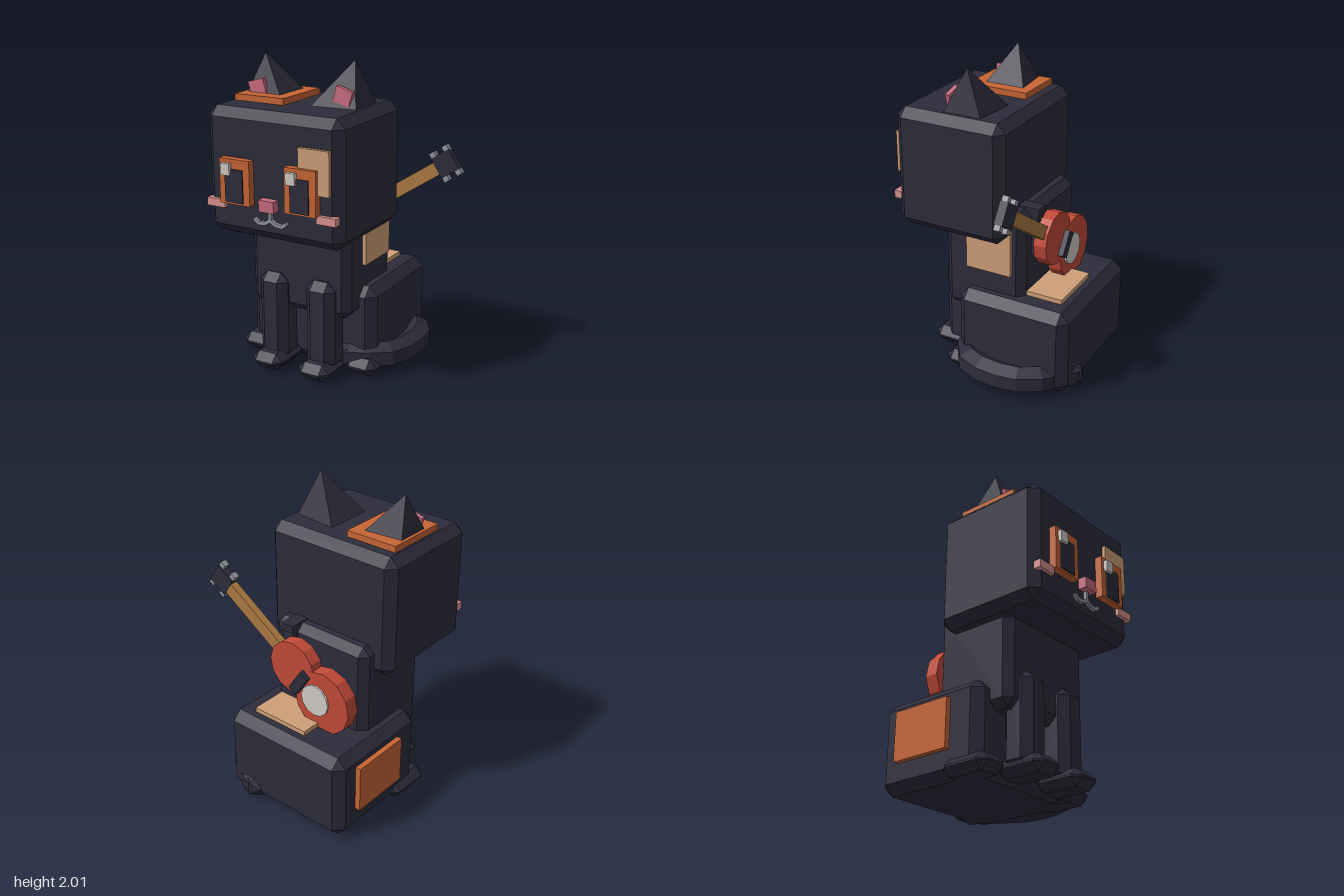
import * as THREE from 'three';
import { ConvexGeometry } from 'three/addons/geometries/ConvexGeometry.js';

const mat = (name, color) => {
  const m = new THREE.MeshStandardMaterial({ color });
  m.name = name;
  return m;
};

export function createModel() {
  const fur = mat('dark fur', 0x2d2c3b);
  const orange = mat('orange', 0xc66535);
  const tan = mat('tan', 0xcf9f78);
  const pink = mat('pink', 0xc96c80);
  const blush = mat('blush', 0xd8928f);
  const pale = mat('pale', 0xcfcbc6);
  const silver = mat('silver', 0x90929b);
  const red = mat('red', 0xc24a39);
  const wood = mat('wood', 0xa97942);

  const cat = new THREE.Group();
  cat.name = 'cat';
  const MID = -0.16; // the cat's own centre line
  const mirror = x => 2 * MID - x;

  const add = (name, geo, material, parent = cat) => {
    const mesh = new THREE.Mesh(geo, material);
    mesh.name = name;
    parent.add(mesh);
    return mesh;
  };
  // plain box given by its limits
  const box = (name, m, x0, x1, y0, y1, z0, z1, parent = cat) => {
    const b = add(name, new THREE.BoxGeometry(x1 - x0, y1 - y0, z1 - z0), m, parent);
    b.position.set((x0 + x1) / 2, (y0 + y1) / 2, (z0 + z1) / 2);
    return b;
  };
  // box with bevelled edges and corners, given by its limits
  const bevelBox = (name, m, x0, x1, y0, y1, z0, z1, c) => {
    const h = [(x1 - x0) / 2, (y1 - y0) / 2, (z1 - z0) / 2];
    const pts = [];
    for (const sx of [-1, 1]) for (const sy of [-1, 1]) for (const sz of [-1, 1])
      for (let full = 0; full < 3; full++) {
        const p = h.map((v, i) => (i === full ? v : v - c));
        pts.push(new THREE.Vector3(p[0] * sx, p[1] * sy, p[2] * sz));
      }
    const b = add(name, new ConvexGeometry(pts), m);
    b.position.set((x0 + x1) / 2, (y0 + y1) / 2, (z0 + z1) / 2);
    return b;
  };

  // main masses
  bevelBox('head', fur, -0.63, 0.31, 0.95, 1.73, -0.17, 0.585, 0.058);
  bevelBox('torso', fur, -0.52, 0.2, 0.4, 1.15, -0.262, 0.305, 0.05);
  bevelBox('haunches', fur, -0.62, 0.3, 0.01, 0.58, -0.608, 0.166, 0.06);

  // coat patches
  box('headPatch', orange, -0.56, -0.21, 1.70, 1.77, -0.055, 0.363);
  box('facePatch', tan, 0.04, 0.247, 1.287, 1.555, 0.56, 0.608);
  box('sidePatch', tan, 0.17, 0.226, 0.725, 1.03, -0.185, 0.127);
  box('backPatch', tan, -0.26, 0.145, 0.56, 0.61, -0.505, -0.255);
  box('hipPatch', orange, -0.655, -0.6, 0.18, 0.49, -0.455, -0.045);

  // legs, paws, ears and cheeks on both sides
  for (const s of [-1, 1]) {
    const at = (name, fn, m, cx, w, ...rest) => {
      const x = MID + s * cx;
      return fn(name, m, x - w / 2, x + w / 2, ...rest);
    };
    at('frontLeg', bevelBox, fur, 0.172, 0.205, 0.05, 0.64, 0.165, 0.37, 0.053);
    at('frontPaw', bevelBox, fur, 0.172, 0.225, 0.01, 0.122, 0.13, 0.462, 0.05);
    at('hindPaw', bevelBox, fur, 0.388, 0.225, 0.01, 0.122, -0.09, 0.242, 0.05);
    at('cheek', box, blush, 0.386, 0.13, 1.12, 1.17, 0.56, 0.61);

    const ear = [[0.315, 2.0, 0.145], [0.1, 1.73, -0.014], [0.39, 1.73, 0.014],
      [0.39, 1.73, 0.27], [0.1, 1.73, 0.298]]
      .map(([x, y, z]) => new THREE.Vector3(MID + s * x, y, z));
    add('ear', new ConvexGeometry(ear), fur);
    const inner = at('innerEar', box, pink, 0.3, 0.113, 1.752, 1.848, 0.24, 0.27);
    inner.rotation.z = -s * 0.27;
  }

  // eyes share the same layout, shifted sideways
  for (const x of [-0.495, -0.04]) {
    box('iris', orange, x, x + 0.213, 1.16, 1.437, 0.56, 0.632);
    box('pupil', fur, x + 0.042, x + 0.168, 1.173, 1.377, 0.6, 0.64);
    box('eyeGlint', pale, x + 0.024, x + 0.087, 1.34, 1.412, 0.62, 0.657);
  }
  box('nose', pink, -0.217, -0.112, 1.145, 1.216, 0.57, 0.638);

  // mouth strokes
  const stroke = (x0, y0, x1, y1) => {
    const len = Math.hypot(x1 - x0, y1 - y0);
    const b = add('mouth', new THREE.BoxGeometry(len + 0.012, 0.022, 0.03), silver);
    b.position.set((x0 + x1) / 2, (y0 + y1) / 2, 0.592);
    b.rotation.z = Math.atan2(y1 - y0, x1 - x0);
  };
  stroke(MID, 1.145, MID, 1.085);
  const lip = [[MID, 1.087], [-0.197, 1.065], [-0.24, 1.06], [-0.27, 1.082]];
  for (let i = 0; i < 3; i++) {
    const [a, b] = [lip[i], lip[i + 1]];
    stroke(...a, ...b);
    stroke(mirror(a[0]), a[1], mirror(b[0]), b[1]);
  }

  // tail curled around the left side, with tapered faceted ends
  const tailPath = new THREE.CatmullRomCurve3([
    [0.1, 0.08, -0.57], [0.32, 0.11, -0.43], [0.385, 0.11, -0.31], [0.385, 0.11, -0.08],
    [0.32, 0.11, 0.06], [0.12, 0.11, 0.155],
  ].map(p => new THREE.Vector3(...p)));
  const tailMat = fur.clone();
  tailMat.name = 'dark fur faceted';
  tailMat.flatShading = true;
  add('tail', new THREE.TubeGeometry(tailPath, 8, 0.09, 6), tailMat);
  for (const t of [0, 1]) {
    const tip = add('tailEnd', new THREE.IcosahedronGeometry(0.09, 0), tailMat);
    tip.position.copy(tailPath.getPoint(t));
  }

  // strap over the shoulder and down the back
  box('strapTop', fur, 0, 0.09, 1.11, 1.16, -0.31, -0.1);
  box('strapBack', fur, 0, 0.09, 0.84, 1.14, -0.3, -0.25);

  // guitar, built along its own x axis and tilted
  const guitar = new THREE.Group();
  guitar.name = 'guitar';
  guitar.position.set(-0.05, 0.922, -0.335);
  guitar.rotation.z = 0.587;
  cat.add(guitar);
  const disc = (name, m, r, depth, x, y, z) => {
    const geo = new THREE.CylinderGeometry(r, r, depth, 12).toNonIndexed();
    geo.rotateX(Math.PI / 2);
    geo.computeVertexNormals();
    return add(name, geo, m, guitar).position.set(x, y, z);
  };
  disc('upperBout', red, 0.175, 0.086, 0, 0, 0);
  disc('lowerBout', red, 0.21, 0.09, -0.285, 0, 0);
  disc('soundDisc', pale, 0.105, 0.03, -0.245, -0.02, -0.043);
  box('bridge', fur, -0.135, -0.068, -0.1, 0.07, -0.077, -0.03, guitar);
  box('neck', wood, 0.1, 0.66, -0.043, 0.043, -0.025, 0.026, guitar);
  box('headstock', fur, 0.645, 0.785, -0.07, 0.07, -0.027, 0.027, guitar);
  for (const x of [0.665, 0.765]) for (const y of [-0.083, 0.083])
    box('tuningPeg', silver, x - 0.02, x + 0.02, y - 0.02, y + 0.02, -0.02, 0.02, guitar);

  return cat;
}
